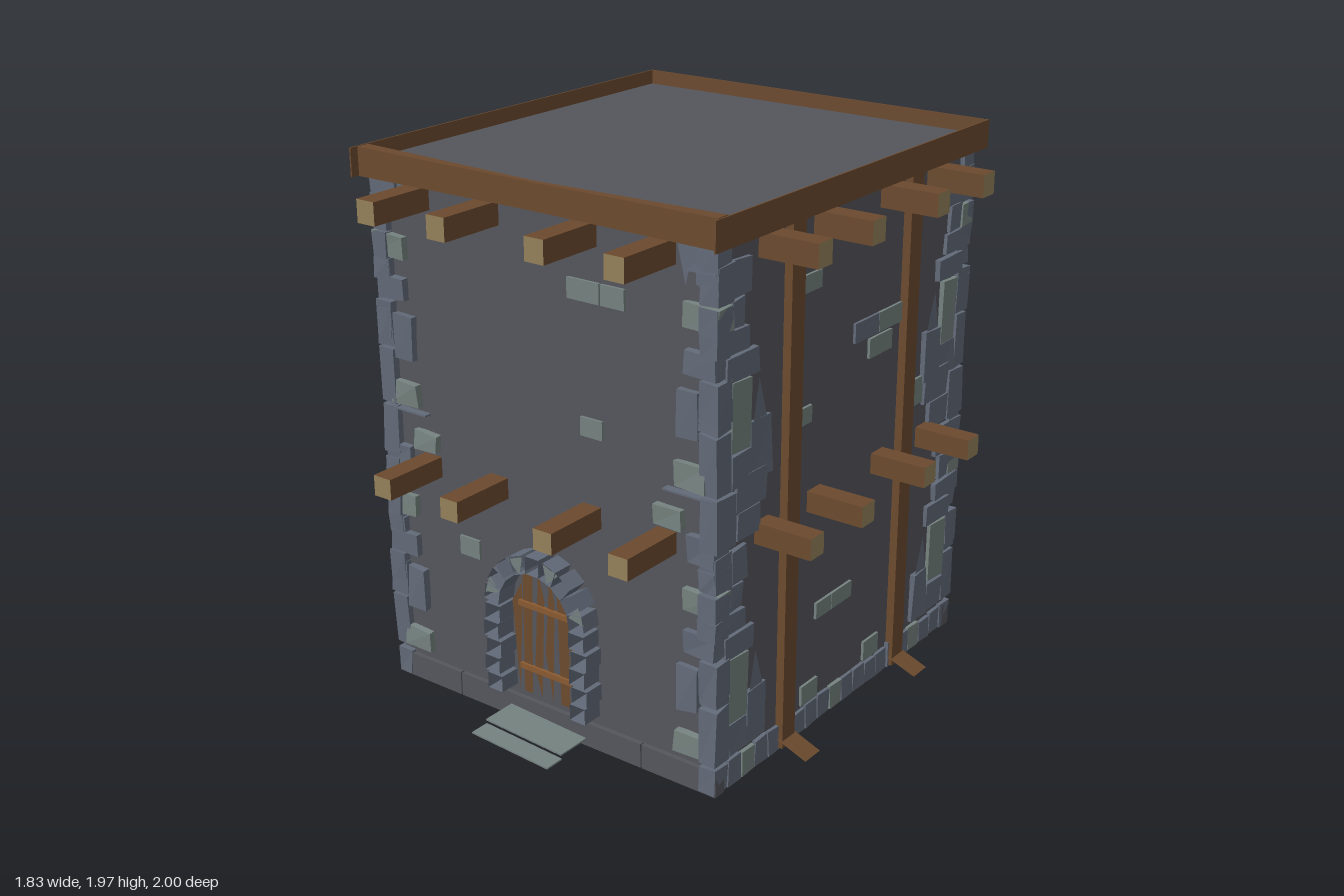
import * as THREE from 'three';

const mat = (color, side = THREE.FrontSide) =>
  new THREE.MeshStandardMaterial({ color, side, flatShading: true, roughness: 1 });

export function createModel() {
  const root = new THREE.Group();
  root.name = 'stoneTower';
  const D = THREE.DoubleSide;
  const wall = mat(0x55565c, D), blue = mat(0x626a78, D), pale = mat(0x75827f, D);
  const wood = mat(0x6b4a2e, D), endWood = mat(0x94805a), strap = mat(0x8a5a30, D);

  let seed = 7;
  const rnd = () => ((seed = (seed * 16807) % 2147483647) / 2147483647) - 0.5;

  const group = (name) => {
    const g = new THREE.Group();
    g.name = name;
    root.add(g);
    return g;
  };
  const add = (parent, name, geo, material) => {
    const m = new THREE.Mesh(geo, material);
    m.name = name;
    parent.add(m);
    return m;
  };
  // Box given by its limits on each axis
  const block = (parent, name, [x0, x1], [y0, y1], [z0, z1], material) => {
    const m = add(parent, name, new THREE.BoxGeometry(Math.abs(x1 - x0), y1 - y0, Math.abs(z1 - z0)), material);
    m.position.set((x0 + x1) / 2, (y0 + y1) / 2, (z0 + z1) / 2);
    return m;
  };
  // Box without the face of the given number (+x, -x, +y, -y, +z, -z)
  const openBox = (w, h, d, face) => {
    const g = new THREE.BoxGeometry(w, h, d);
    const idx = Array.from(g.index.array);
    idx.splice(face * 6, 6);
    g.setIndex(idx);
    g.clearGroups();
    return g;
  };
  // Flat polygon standing in the xy plane
  const panel = (parent, name, pts, z, material) => {
    const m = add(parent, name, new THREE.ShapeGeometry(new THREE.Shape(pts.map((p) => new THREE.Vector2(...p)))), material);
    m.position.z = z;
    return m;
  };

  // Hollow walls with a flat roof, open below
  add(root, 'walls', openBox(1.4, 1.93, 1.5, 3), wall).position.y = 0.965;

  // Roof edge boards; the front one is thinner in the middle
  const rim = group('roofEdge');
  for (const s of [-1, 1]) block(rim, 'sideBoard', [s * 0.74, s * 0.746], [1.87, 1.97], [-0.81, 0.83], wood);
  block(rim, 'backBoard', [-0.74, 0.74], [1.87, 1.97], [-0.808, -0.802], wood);
  const frontGeo = new THREE.BoxGeometry(1.47, 0.1, 0.05, 2, 1, 1);
  const fp = frontGeo.attributes.position;
  for (let i = 0; i < fp.count; i++) {
    if (Math.abs(fp.getX(i)) < 0.1) {
      fp.setZ(i, fp.getZ(i) * 0.4);
      fp.setY(i, fp.getY(i) - (fp.getY(i) > 0 ? 0.008 : 0));
    }
  }
  add(rim, 'frontBoard', frontGeo, wood).position.set(0, 1.92, 0.778);

  // Two rows of beam ends through every wall
  const beams = group('beams');
  for (const [y0, y1] of [[0.83, 0.905], [1.785, 1.865]])
    for (const p of [-0.508, -0.203, 0.2, 0.506])
      for (const s of [-1, 1]) {
        const w = [p - 0.038, p + 0.038];
        block(beams, 'beam', w, [y0, y1], [s * 0.66, s], [wood, wood, wood, wood, endWood, endWood]);
        block(beams, 'beam', [s * 0.61, s * 0.915], [y0, y1], w, [endWood, endWood, wood, wood, wood, wood]);
      }

  // Upright posts with a sloping foot board
  const posts = group('posts');
  for (const s of [-1, 1])
    for (const z of [-0.36, 0.362]) {
      block(posts, 'post', [s * 0.69, s * 0.73], [0.01, 1.87], [z - 0.037, z + 0.037], wood);
      const foot = add(posts, 'postFoot', new THREE.PlaneGeometry(0.139, 0.09), wood);
      foot.rotation.set(-Math.PI / 2, -s * 0.367, 0, 'ZYX');
      foot.rotation.set(-Math.PI / 2, 0, 0);
      foot.geometry.rotateY(s * 0.367);
      foot.position.set(s * 0.765, 0.026, z);
    }

  // Slightly uneven stone; the inner side reaches through the wall
  const stone = (parent, x, y, z, material, wobble = 0.01) => {
    const m = block(parent, 'stone', x, y, z, material);
    const p = m.geometry.attributes.position;
    const off = Array.from({ length: 8 }, () => [rnd() * wobble, rnd() * wobble, rnd() * wobble]);
    for (let i = 0; i < p.count; i++) {
      const [a, b, c] = [p.getX(i), p.getY(i), p.getZ(i)];
      const o = off[(a > 0 ? 1 : 0) + (b > 0 ? 2 : 0) + (c > 0 ? 4 : 0)];
      p.setXYZ(i, a + o[0], b + o[1], c + o[2]);
    }
  };

  // Corner stones: near and far edge along the wall, bottom, top, pale?
  const frontCorner = [
    [0.55, 0.67, 0.125, 0.205, 1], [0.56, 0.64, 0.29, 0.45], [0.65, 0.72, 0.36, 0.49],
    [0.59, 0.71, 0.5, 0.58], [0.645, 0.715, 0.57, 0.64], [0.585, 0.72, 0.65, 0.73, 1],
    [0.65, 0.715, 0.74, 0.81], [0.6, 0.71, 0.83, 0.92], [0.47, 0.575, 0.925, 0.99, 1],
  ];
  const sideCorner = [
    [0.595, 0.695, 0.24, 0.47, 1], [0.7, 0.775, 0.12, 0.32], [0.7, 0.775, 0.33, 0.46],
    [0.56, 0.72, 0.48, 0.56], [0.61, 0.775, 0.57, 0.64], [0.7, 0.78, 0.64, 0.73],
    [0.63, 0.7, 0.65, 0.74], [0.6, 0.69, 0.745, 0.86], [0.69, 0.775, 0.74, 0.86],
    [0.48, 0.585, 0.12, 0.31], [0.59, 0.695, 0.12, 0.235], [0.54, 0.66, 0.88, 0.98],
    [0.5, 0.66, 0.98, 1.1], [0.67, 0.775, 0.88, 1.06],
  ];
  const corners = group('cornerStones');
  for (const sx of [-1, 1])
    for (const sz of [-1, 1]) {
      for (const lift of [0, 0.95]) {
        for (const [a, b, y0, y1, p] of frontCorner)
          if (y1 + lift < 1.88)
            stone(corners, [sx * a, sx * b], [y0 + lift, y1 + lift], [sz * 0.7, sz * 0.775], p ? pale : blue);
        for (const [a, b, y0, y1, p] of sideCorner)
          if (y1 + lift < 1.88)
            stone(corners, [sx * 0.65, sx * 0.717], [y0 + lift, y1 + lift], [sz * a, sz * b], p ? pale : blue);
        // Pointed chip above the inner side stone
        const chip = panel(corners, 'stoneChip', [[0.5, 0.31], [0.575, 0.31], [0.545, 0.45]], 0, blue);
        chip.rotation.y = -Math.PI / 2;
        chip.scale.x = sz;
        chip.position.set(sx * 0.712, lift, 0);
      }
      stone(corners, [sx * 0.64, sx * 0.715], [1.74, 1.87], [sz * 0.7, sz * 0.775], blue);
      panel(corners, 'stoneChip', [[0.56, 1.86], [0.62, 1.86], [0.59, 1.73]], sz * 0.765, blue).scale.x = sx;
      block(corners, 'ledge', [sx * 0.51, sx * 0.7], [1.052, 1.058], [sz * 0.72, sz * 0.78], blue);
    }

  // Low course of stones around the foot of the walls
  const base = group('baseStones');
  for (const s of [-1, 1]) {
    for (let i = 0; i < 20; i++) {
      const z = -0.775 + i * 0.0775;
      stone(base, [s * 0.65, s * 0.714], [0.005, 0.095 + 0.015 * rnd()], [z + 0.003, z + 0.074], i % 7 === 3 ? pale : blue, 0.006);
    }
    for (const [a, b] of [[-0.715, -0.41], [-0.405, 0.405], [0.41, 0.715]])
      block(base, 'baseSlab', [a, b], [0, 0.09], [s * 0.72, s * 0.768], wall);
  }

  // Single stones showing in the plaster
  const loose = group('wallStones');
  for (const s of [-1, 1]) {
    for (const [a, b, y0, y1] of [[0.12, 0.25, 1.6, 1.67], [0.256, 0.35, 1.6, 1.67], [0.165, 0.255, 1.145, 1.21], [-0.39, -0.3, 0.565, 0.635]])
      block(loose, 'wallStone', [a, b], [y0, y1], [s * 0.72, s * 0.76], pale);
    for (const [a, b, y0, y1, isBlue] of [
      [0.195, 0.325, 1.605, 1.665], [-0.17, -0.02, 1.35, 1.42, 1], [-0.32, -0.172, 1.35, 1.42],
      [-0.26, -0.115, 1.27, 1.34], [0.235, 0.325, 1.155, 1.215], [0.08, 0.175, 0.405, 0.465],
      [-0.05, 0.077, 0.405, 0.465], [0.155, 0.255, 0.1, 0.175], [-0.25, -0.15, 0.1, 0.175], [-0.49, -0.43, 1, 1.1]])
      block(loose, 'wallStone', [s * 0.67, s * 0.71], [y0, y1], [a, b], isBlue ? blue : pale);
  }

  // Door arch: stones hollow at the front, set along jambs and a half circle
  const arch = group('doorArch');
  const archStone = (x, y, angle, len) => {
    const m = add(arch, 'archStone', openBox(0.065, len, 0.12, 4), blue);
    m.position.set(x, y, 0.77);
    m.rotation.z = angle;
  };
  for (const s of [-1, 1])
    for (let i = 0; i < 5; i++) archStone(s * (0.185 + (i % 2) * 0.01), 0.155 + i * 0.068, 0, 0.06);
  for (let i = 0; i < 9; i++) {
    const a = ((i + 0.5) / 9) * Math.PI;
    archStone(Math.cos(a) * 0.187, 0.465 + Math.sin(a) * 0.187, a, 0.058);
  }
  for (const s of [-1, 1]) {
    panel(arch, 'archChip', [[0.15, 0.51], [0.22, 0.495], [0.195, 0.56]], 0.825, pale).scale.x = s;
    panel(arch, 'archChip', [[0.06, 0.605], [0.11, 0.65], [0.045, 0.675]], 0.825, pale).scale.x = s;
  }

  // Door of split planks with two cross straps
  const door = group('door');
  const planks = [
    [[-0.15, 0.46], [-0.125, 0.12], [-0.105, 0.46], [-0.105, 0.54]],
    [[-0.1, 0.57], [-0.105, 0.12], [-0.07, 0.12], [-0.055, 0.59]],
    [[-0.03, 0.6], [-0.055, 0.22], [-0.025, 0.12], [-0.005, 0.5]],
    [[0.02, 0.6], [-0.005, 0.3], [0.025, 0.12], [0.04, 0.5]],
    [[0.05, 0.59], [0.06, 0.12], [0.1, 0.12], [0.1, 0.57]],
    [[0.105, 0.54], [0.105, 0.3], [0.125, 0.12], [0.145, 0.47]],
  ];
  planks.forEach((p) => panel(door, 'plank', p, 0.765, wood));
  for (const y of [0.465, 0.222]) block(door, 'strap', [-0.115, 0.115], [y - 0.01, y + 0.01], [0.762, 0.775], strap);

  // Two thin, slightly tilted doorstep slabs
  const steps = group('steps');
  for (const [y, z, d] of [[0.035, 0.83, 0.14], [0.018, 0.935, 0.075]]) {
    const m = add(steps, 'step', new THREE.BoxGeometry(0.34, 0.006, d), pale);
    m.position.set(0, y, z);
    m.rotation.z = -0.05;
  }
  return root;
}
